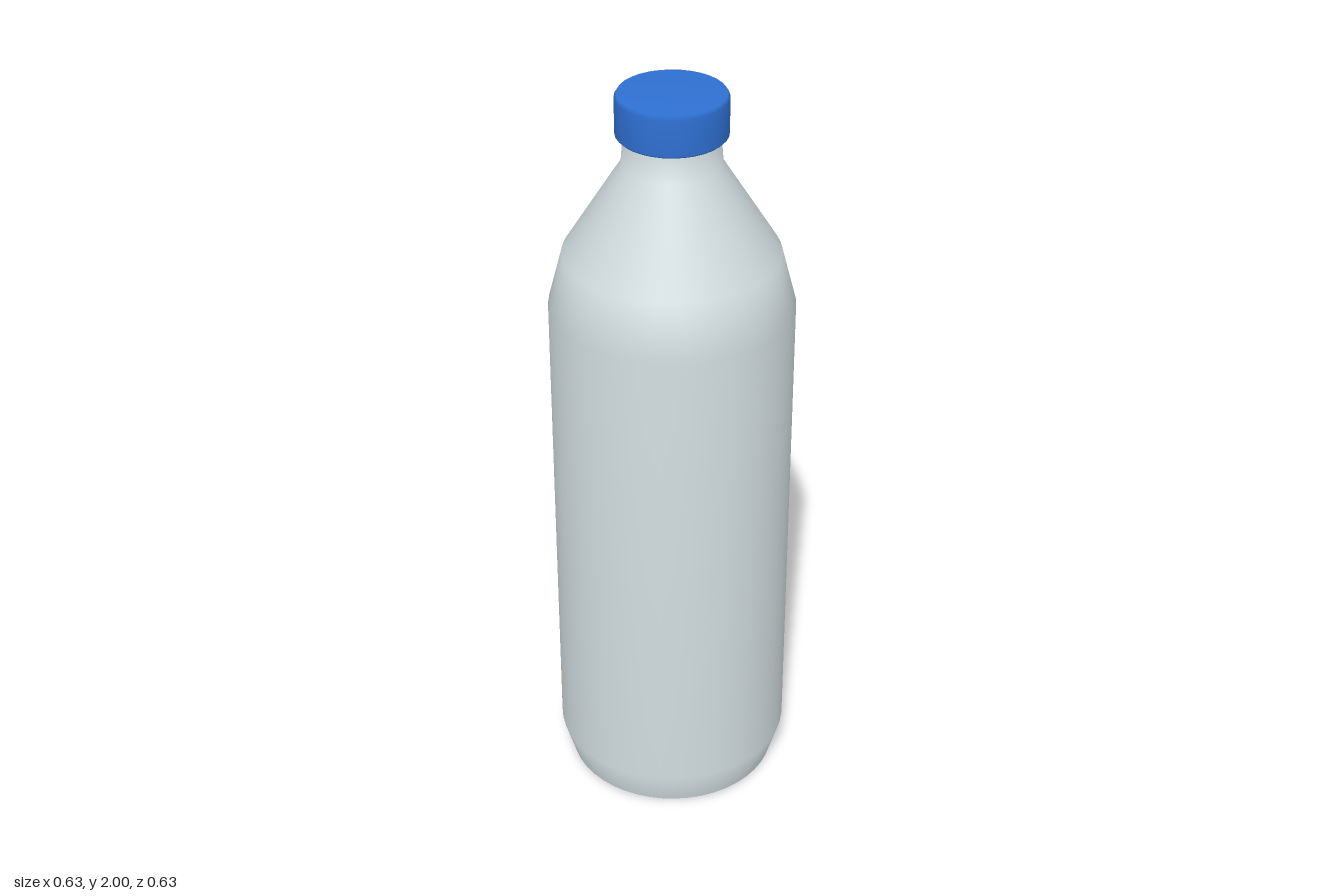
import * as THREE from 'three';

const plastic = new THREE.MeshStandardMaterial({ color: 0xd2dde0 });
plastic.name = 'pale grey plastic';
const blue = new THREE.MeshStandardMaterial({ color: 0x2f70d2 });
blue.name = 'blue cap';

// Round part from [radius, height] pairs, listed from the bottom up
function turned(name, profile, segments, material) {
  const points = profile.map(([r, y]) => new THREE.Vector2(r, y));
  const mesh = new THREE.Mesh(new THREE.LatheGeometry(points, segments), material);
  mesh.name = name;
  return mesh;
}

export function createModel() {
  const bottle = new THREE.Group();
  bottle.name = 'bottle';

  // Flat base, kept separate so its rim stays sharp
  bottle.add(turned('base', [[0, 0], [0.285, 0]], 48, plastic));

  // Chamfered foot, straight wall, sloping shoulder and neck
  bottle.add(turned('body', [
    [0.285, 0], [0.314, 0.1], [0.314, 1.43], [0.276, 1.575],
    [0.126, 1.815], [0.119, 1.9],
  ], 48, plastic));

  // Screw cap with slightly softened edges
  bottle.add(turned('cap', [
    [0, 1.89], [0.134, 1.89], [0.14, 1.896], [0.14, 1.99],
    [0.134, 2], [0, 2],
  ], 32, blue));

  return bottle;
}
